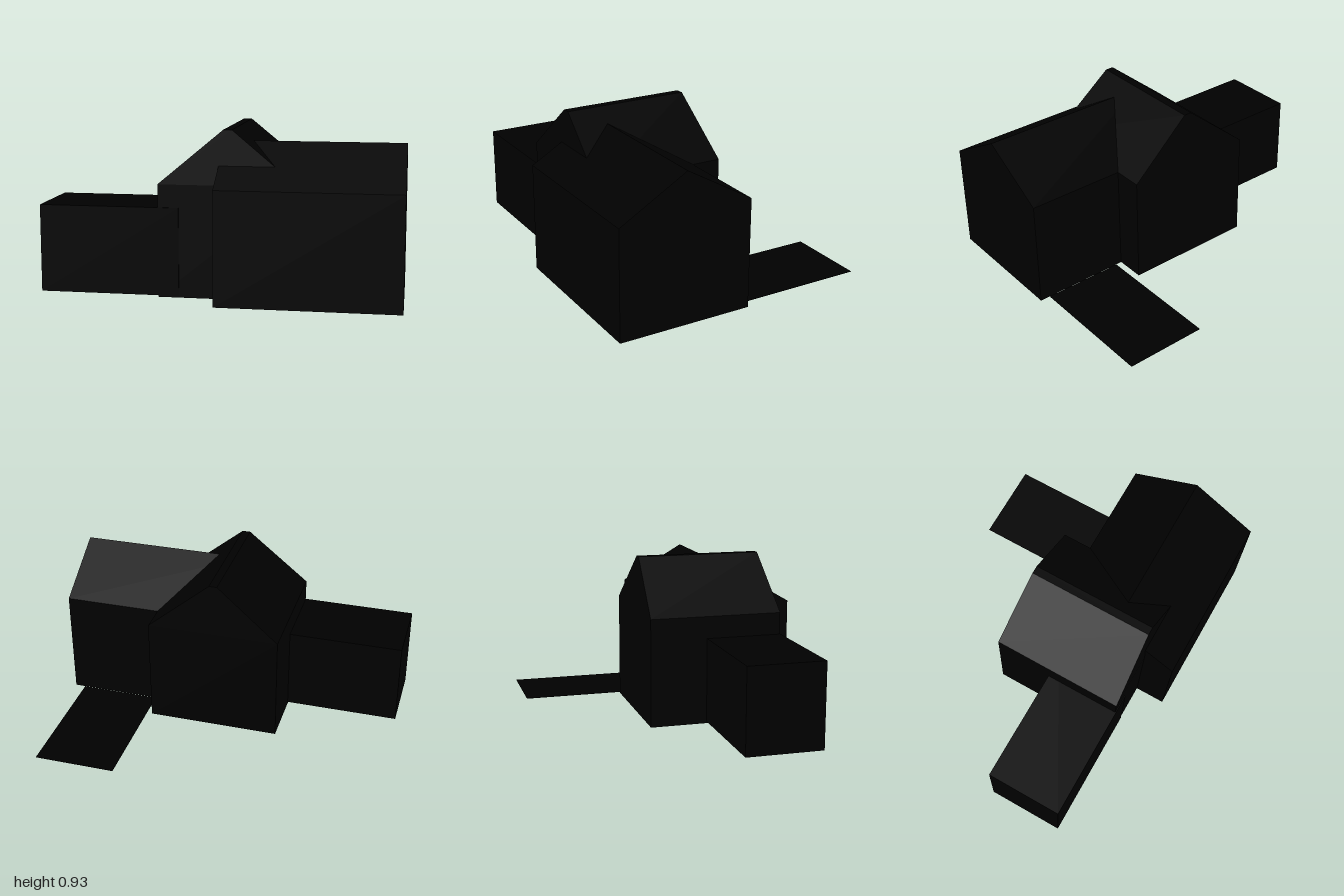
import * as THREE from 'three';

const black = new THREE.MeshStandardMaterial({ color: 0x000000, flatShading: true, side: THREE.DoubleSide });

// Stack of rectangles [x0, x1, z0, z1, y] joined into walls, closed on top and open below
function loft(rings) {
  const pos = [];
  const corners = rings.map(([x0, x1, z0, z1, y]) => [[x0, y, z1], [x1, y, z1], [x1, y, z0], [x0, y, z0]]);
  const quad = (a, b, c, d) => pos.push(...a, ...b, ...c, ...a, ...c, ...d);
  for (let i = 0; i < corners.length - 1; i++) {
    const lo = corners[i], hi = corners[i + 1];
    for (let k = 0; k < 4; k++) {
      const n = (k + 1) % 4;
      quad(lo[k], lo[n], hi[n], hi[k]);
    }
  }
  quad(...corners[corners.length - 1]);
  const geo = new THREE.BufferGeometry();
  geo.setAttribute('position', new THREE.Float32BufferAttribute(pos, 3));
  geo.computeVertexNormals();
  return geo;
}

// Box given by its limits on each axis
function block(x0, x1, y0, y1, z0, z1) {
  return new THREE.BoxGeometry(x1 - x0, y1 - y0, z1 - z0)
    .translate((x0 + x1) / 2, (y0 + y1) / 2, (z0 + z1) / 2);
}

// Gabled house running along x from x0 to x1
function gabled(x0, x1, z0, z1, base, eave, ridge) {
  const shape = new THREE.Shape([
    [-z1, base], [-z0, base], [-z0, eave], [-(z0 + z1) / 2, ridge], [-z1, eave],
  ].map(([x, y]) => new THREE.Vector2(x, y)));
  return new THREE.ExtrudeGeometry(shape, { depth: x1 - x0, bevelEnabled: false })
    .rotateY(Math.PI / 2).translate(x0, 0, 0);
}

export function createModel() {
  const model = new THREE.Group();
  model.name = 'house';
  const add = (name, geometry) => {
    const mesh = new THREE.Mesh(geometry, black);
    mesh.name = name;
    model.add(mesh);
  };

  // Long wing with its ridge along x
  add('gabledWing', gabled(0, 1, -0.01, 0.765, 0.003, 0.63, 0.855));

  // Central hall: walls, then a steep roof with a narrow flat ridge
  add('centralHall', loft([
    [-0.335, 0.435, -0.18, 0.588, 0.005],
    [-0.335, 0.435, -0.18, 0.588, 0.63],
    [0.025, 0.072, -0.157, 0.573, 0.93],
  ]));

  // Low flat-roofed extension, reaching a little into the hall
  add('flatRoofedWing', block(-1, -0.22, 0.015, 0.503, 0.15, 0.593));

  // Paved strip behind the long wing
  add('driveway', block(0.47, 0.94, 0, 0.002, -0.765, -0.01));

  return model;
}
